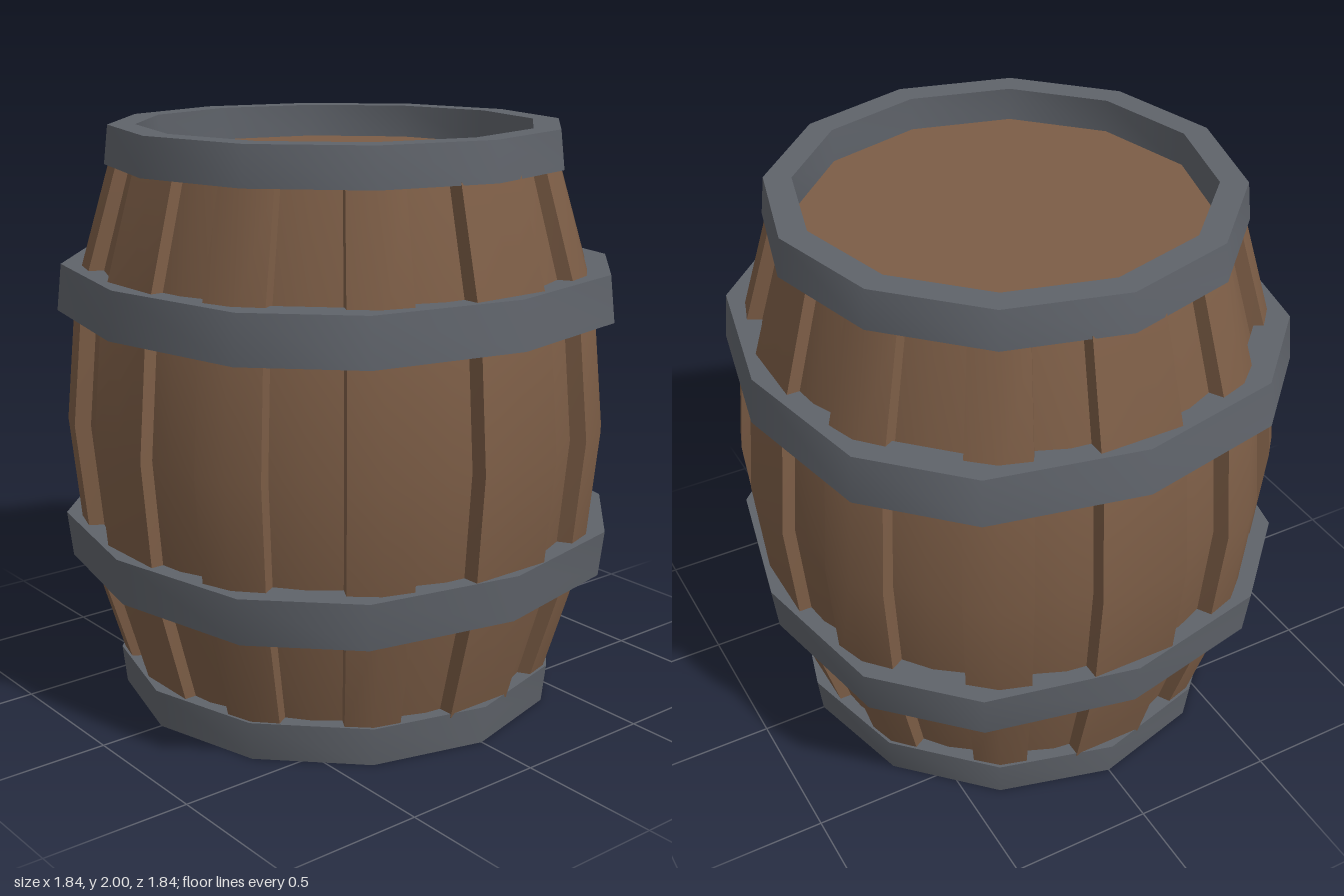
import * as THREE from 'three';
import { toCreasedNormals } from 'three/addons/utils/BufferGeometryUtils.js';

const wood = new THREE.MeshStandardMaterial({ color: 0x7c5d46 });
wood.name = 'wood';
const iron = new THREE.MeshStandardMaterial({ color: 0x5f636a });
iron.name = 'iron';

// Barrel bulge: [height, radius]
const PROFILE = [[0.12, 0.745], [0.56, 0.87], [1, 0.91], [1.44, 0.87], [1.88, 0.745]];

function add(group, name, geometry, material) {
  const mesh = new THREE.Mesh(geometry, material);
  mesh.name = name;
  group.add(mesh);
  return mesh;
}

// Raised plank following the bulge, centred on +z; the outer face bends at its middle
function staveGeometry(scale, half, bend) {
  const pos = [];
  const index = [];
  PROFILE.forEach(([y, r]) => {
    const w = half * r / 0.91;
    const z = r * scale;
    pos.push(-w, y, z - bend, 0, y, z, w, y, z - bend, w, y, z - 0.1, -w, y, z - 0.1);
  });
  const n = 5;
  for (let j = 0; j < PROFILE.length - 1; j++) {
    for (let i = 0; i < n; i++) {
      const a = j * n + i;
      const b = j * n + (i + 1) % n;
      index.push(a, b, b + n, a, b + n, a + n);
    }
  }
  // End caps
  const t = (PROFILE.length - 1) * n;
  for (let i = 1; i < n - 1; i++) {
    index.push(0, i + 1, i, t, t + i, t + i + 1);
  }
  const g = new THREE.BufferGeometry();
  g.setAttribute('position', new THREE.Float32BufferAttribute(pos, 3));
  g.setIndex(index);
  return toCreasedNormals(g, 0.7);
}

// Twelve-sided band with a slightly tapered outer face
function hoopGeometry(y0, y1, r0, r1, inner, spread) {
  const pts = [[inner, y0], [r0, y0], [r1, y1], [inner, y1], [inner, y0]];
  const g = new THREE.LatheGeometry(pts.map(([x, y]) => new THREE.Vector2(x, y)), 12);
  if (spread) {
    // Push the diagonal corners out towards the 45 degree lines
    const p = g.attributes.position;
    for (let i = 0; i < p.count; i++) {
      const x = p.getX(i), z = p.getZ(i);
      if (Math.min(Math.abs(x), Math.abs(z)) < 0.01) continue;
      const xSmall = Math.abs(x) < Math.abs(z);
      p.setX(i, x * (xSmall ? 1.13 : 1.016));
      p.setZ(i, z * (xSmall ? 1.016 : 1.13));
    }
  }
  return toCreasedNormals(g, 0.8);
}

export function createModel() {
  const barrel = new THREE.Group();
  barrel.name = 'barrel';

  // Recessed staves
  const bodyPts = PROFILE.map(([y, r]) => new THREE.Vector2(r - 0.03, y));
  add(barrel, 'body', new THREE.LatheGeometry(bodyPts, 24), wood);

  // Raised staves
  const staves = new THREE.Group();
  staves.name = 'staves';
  barrel.add(staves);
  const frontStave = staveGeometry(0.995, 0.14, 0);
  const sideStave = staveGeometry(1.01, 0.155, 0);
  const diagonalStave = staveGeometry(1.035, 0.112, 0.022);
  for (let i = 0; i < 12; i++) {
    const g = i % 3 ? diagonalStave : i % 6 ? sideStave : frontStave;
    add(staves, 'stave', g, wood).rotation.y = i * Math.PI / 6;
  }

  // Lid and bottom, set inside the end hoops
  const disc = new THREE.CircleGeometry(0.73, 12);
  const lid = add(barrel, 'lid', disc, wood);
  lid.rotation.x = -Math.PI / 2;
  lid.position.y = 1.885;
  const base = add(barrel, 'bottom', disc, wood);
  base.rotation.x = Math.PI / 2;
  base.position.y = 0.115;

  // Hoops
  add(barrel, 'topHoop', hoopGeometry(1.87, 2, 0.787, 0.772, 0.68), iron);
  add(barrel, 'upperHoop', hoopGeometry(1.37, 1.53, 0.922, 0.905, 0.8, true), iron);
  add(barrel, 'lowerHoop', hoopGeometry(0.48, 0.64, 0.905, 0.922, 0.8, true), iron);
  add(barrel, 'bottomHoop', hoopGeometry(0, 0.135, 0.772, 0.787, 0.68), iron);
  return barrel;
}
